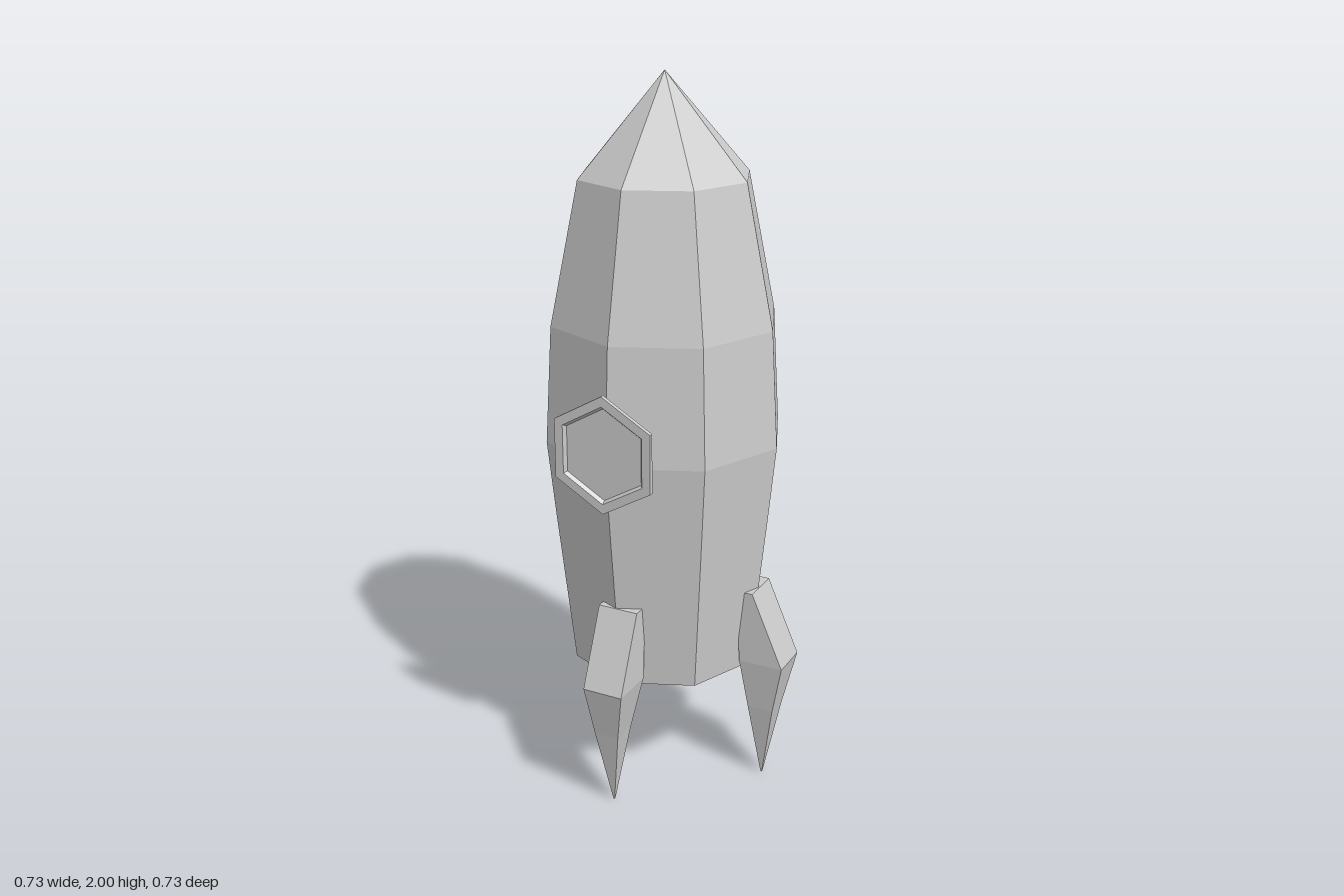
import * as THREE from 'three';

const CX = -0.027, CZ = -0.027; // hull axis
const material = new THREE.MeshStandardMaterial({ color: 0xcccccc, flatShading: true });

function lathe(name, profile, sides) {
  const points = profile.map(([r, y]) => new THREE.Vector2(r, y));
  const mesh = new THREE.Mesh(new THREE.LatheGeometry(points, sides), material);
  mesh.name = name;
  return mesh;
}

// Loft of rectangular sections, listed top to bottom: [y, inner z, outer z, left x, right x]
function finGeometry(sections) {
  const positions = [];
  const rings = sections.map(([y, zi, zo, x0, x1]) => [
    [x0, y, zo], [x1, y, zo], [x1, y, zi], [x0, y, zi],
  ]);
  const quad = (a, b, c, d) => positions.push(...a, ...b, ...c, ...a, ...c, ...d);
  for (let i = 0; i < rings.length - 1; i++) {
    const top = rings[i], low = rings[i + 1];
    for (let j = 0; j < 4; j++) {
      const k = (j + 1) % 4;
      quad(low[j], low[k], top[k], top[j]);
    }
  }
  quad(...rings[0]);
  const geometry = new THREE.BufferGeometry();
  geometry.setAttribute('position', new THREE.Float32BufferAttribute(positions, 3));
  geometry.computeVertexNormals();
  return geometry;
}

export function createModel() {
  const rocket = new THREE.Group();
  rocket.name = 'rocket';

  // Eight-sided hull with pointed nose
  const hull = lathe('hull', [
    [0.14, 0.325], [0.269, 0.35], [0.317, 0.8], [0.339, 1.02],
    [0.319, 1.345], [0.238, 1.73], [0, 2],
  ], 8);
  hull.position.set(CX, 0, CZ);

  // Short tapered nozzle under the hull
  const nozzle = lathe('nozzle', [[0, 0.285], [0.095, 0.285], [0.14, 0.325]], 8);
  nozzle.position.set(CX, 0, CZ);
  rocket.add(hull, nozzle);

  // Hexagonal window: raised frame with a recessed pane
  const porthole = lathe('window', [
    [0, 0], [0.163, 0], [0.163, 0.012], [0.135, 0.012], [0.127, 0.002], [0, 0.002],
  ], 6);
  porthole.rotation.x = Math.PI / 2;
  porthole.position.set(CX, 1.06, 0.318);
  rocket.add(porthole);

  // Two fins, at the front and on the left, in hull-axis coordinates
  const geometry = finGeometry([
    [0.595, 0.25, 0.298, -0.05, 0.067],
    [0.38, 0.262, 0.392, -0.05, 0.067],
    [0.23, 0.285, 0.361, -0.035, 0.038],
    [0, 0.316, 0.32, -0.002, 0.002],
  ]);
  ['frontFin', 'leftFin'].forEach((name, i) => {
    const fin = new THREE.Mesh(geometry, material);
    fin.name = name;
    fin.position.set(CX, 0, CZ);
    fin.rotation.y = i * Math.PI / 2;
    rocket.add(fin);
  });

  return rocket;
}
